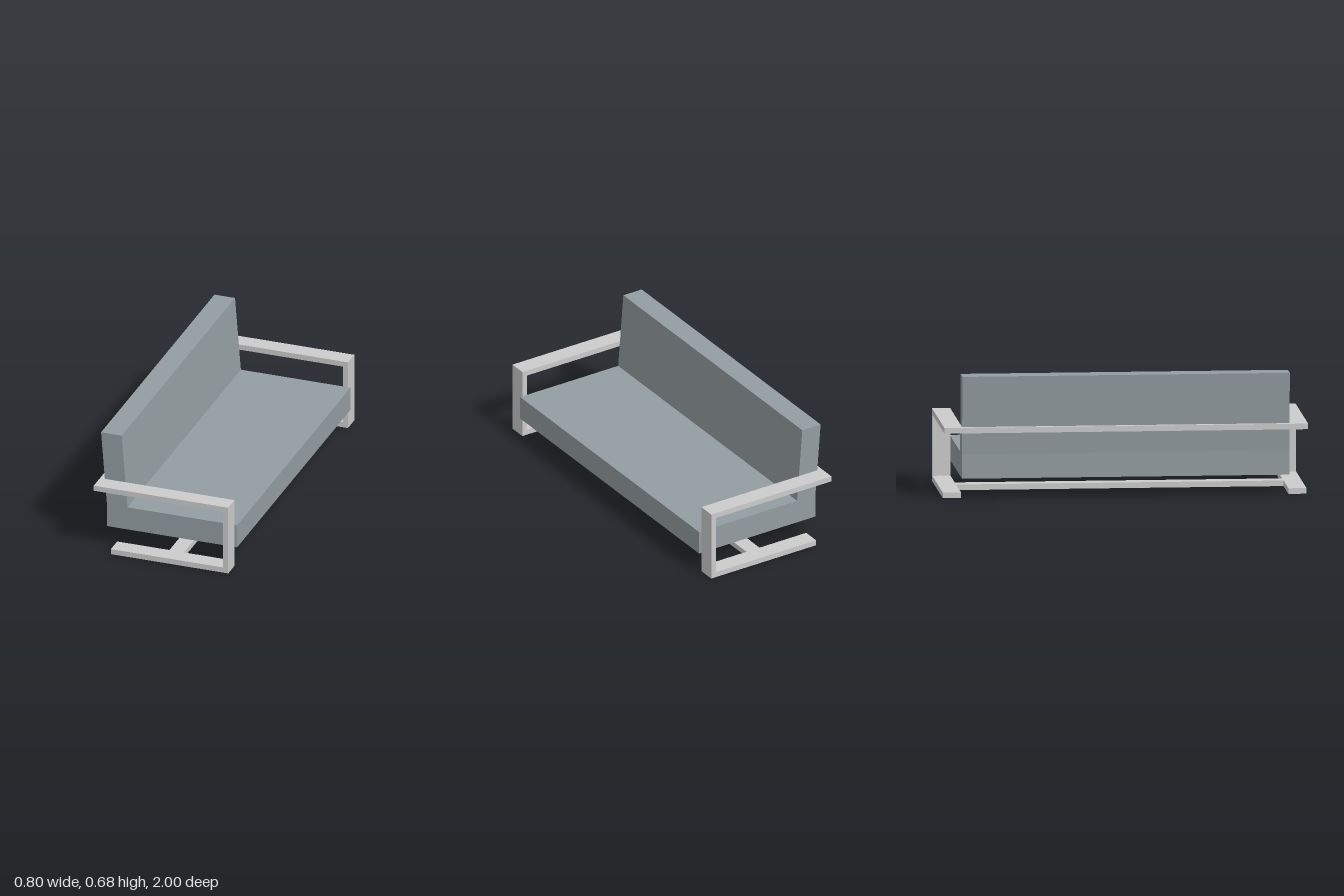
import * as THREE from 'three';

const frameMat = new THREE.MeshStandardMaterial({ color: 0xcccccc });
const cushionMat = new THREE.MeshStandardMaterial({ color: 0x939da1 });

// Extrude an x-y outline along z, centred on the given z
function extrudeProfile(name, points, depth, z, material) {
  const shape = new THREE.Shape(points.map(([x, y]) => new THREE.Vector2(x, y)));
  const geometry = new THREE.ExtrudeGeometry(shape, { depth, bevelEnabled: false });
  geometry.translate(0, 0, z - depth / 2);
  const mesh = new THREE.Mesh(geometry, material);
  mesh.name = name;
  return mesh;
}

// Rail running between the two side frames
function rail(name, x0, x1, y0, y1) {
  const mesh = new THREE.Mesh(new THREE.BoxGeometry(x1 - x0, y1 - y0, 1.8), frameMat);
  mesh.position.set((x0 + x1) / 2, (y0 + y1) / 2, 0);
  mesh.name = name;
  return mesh;
}

export function createModel() {
  const sofa = new THREE.Group();
  sofa.name = 'sofa';

  // Seat and leaning backrest in one upholstered body
  sofa.add(extrudeProfile('seatAndBackrest', [
    [-0.36, 0.115], [0.4, 0.115], [0.4, 0.25], [-0.24, 0.25],
    [-0.274, 0.683], [-0.394, 0.683], [-0.36, 0.25],
  ], 1.8, 0, cushionMat));

  // C-shaped side frames: armrest, front leg and floor runner
  const sideOutline = [
    [-0.3, 0], [0.385, 0], [0.385, 0.402], [-0.4, 0.402],
    [-0.4, 0.371], [0.355, 0.371], [0.355, 0.031], [-0.3, 0.031],
  ];
  for (const [name, z] of [['sideFrameA', 0.95], ['sideFrameB', -0.95]]) {
    sofa.add(extrudeProfile(name, sideOutline, 0.1, z, frameMat));
  }

  // Rail behind the backrest and rail along the floor
  sofa.add(rail('backRail', -0.4, -0.365, 0.371, 0.402));
  sofa.add(rail('floorRail', 0.005, 0.09, 0, 0.031));

  return sofa;
}
